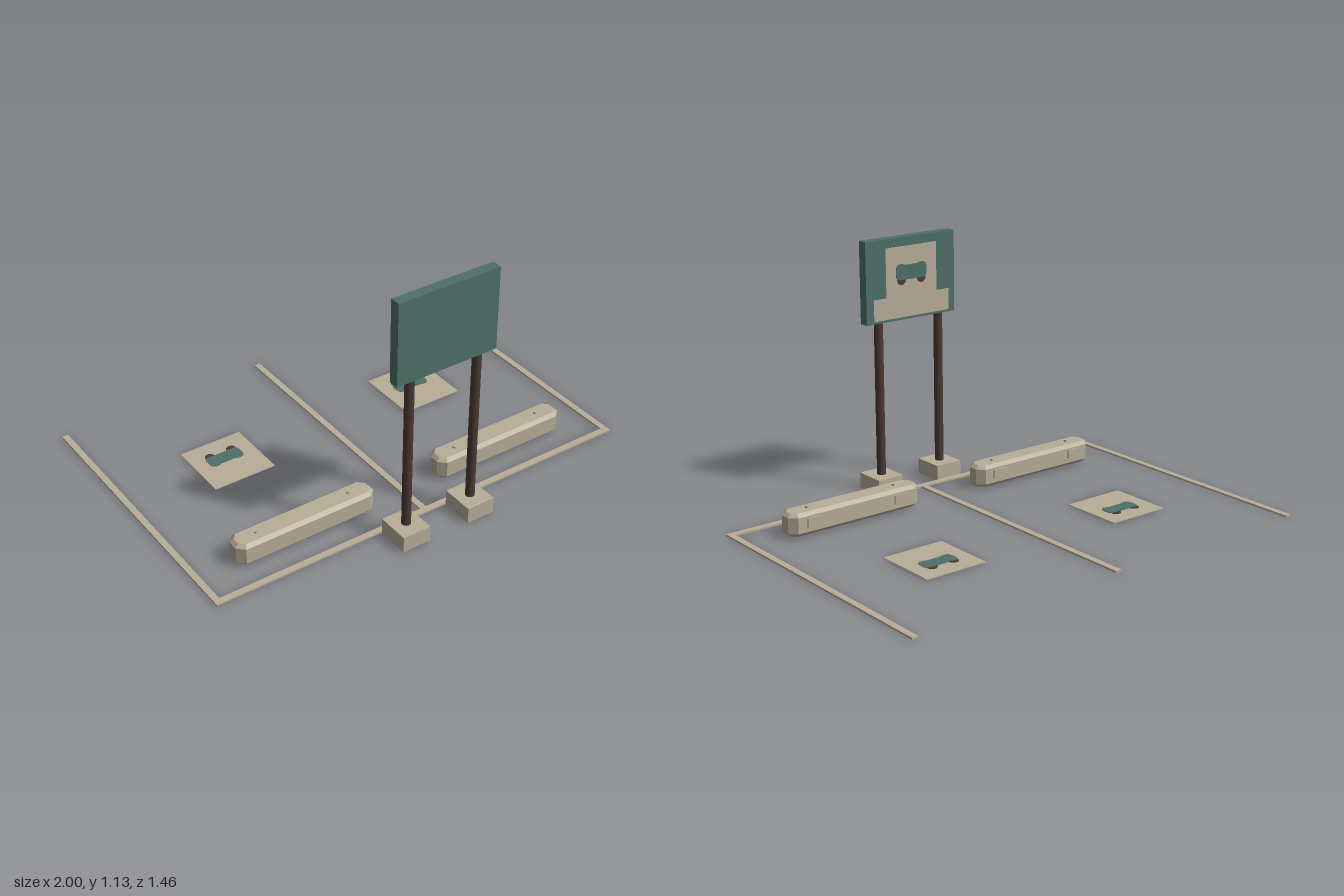
import * as THREE from 'three';

const beige = new THREE.MeshStandardMaterial({ name: 'beige', color: 0xb8ad98 });
const teal = new THREE.MeshStandardMaterial({ name: 'teal', color: 0x4d7068 });
const brown = new THREE.MeshStandardMaterial({ name: 'darkBrown', color: 0x4b3a35 });

function add(parent, name, geometry, material, x = 0, y = 0, z = 0) {
  const mesh = new THREE.Mesh(geometry, material);
  mesh.name = name;
  mesh.position.set(x, y, z);
  parent.add(mesh);
  return mesh;
}

// Box given by its minimum and maximum corners
function block(parent, name, material, [x0, y0, z0], [x1, y1, z1]) {
  return add(parent, name, new THREE.BoxGeometry(x1 - x0, y1 - y0, z1 - z0), material,
    (x0 + x1) / 2, (y0 + y1) / 2, (z0 + z1) / 2);
}

// Flat car symbol in the xy plane, facing +z, wheels at the bottom
function carSymbol(depth) {
  const icon = new THREE.Group();
  icon.name = 'carSymbol';
  const s = new THREE.Shape();
  s.moveTo(-0.07, -0.035);
  s.lineTo(0.07, -0.035);
  s.quadraticCurveTo(0.083, -0.03, 0.082, 0.0);
  s.quadraticCurveTo(0.083, 0.034, 0.06, 0.036);
  s.quadraticCurveTo(0.045, 0.036, 0.032, 0.03);
  s.lineTo(-0.032, 0.03);
  s.quadraticCurveTo(-0.045, 0.036, -0.06, 0.036);
  s.quadraticCurveTo(-0.083, 0.034, -0.082, 0.0);
  s.quadraticCurveTo(-0.083, -0.03, -0.07, -0.035);
  add(icon, 'carBody', new THREE.ExtrudeGeometry(s, { depth, bevelEnabled: false, curveSegments: 5 }), teal);
  // Lower halves of the wheels, below the body
  for (const x of [-0.053, 0.053]) {
    const w = new THREE.Shape();
    w.absarc(x, -0.035, 0.022, Math.PI, Math.PI * 2, false);
    add(icon, 'carWheel', new THREE.ExtrudeGeometry(w, { depth, bevelEnabled: false, curveSegments: 8 }), brown);
  }
  return icon;
}

// Octagonal bar with bevelled top and bottom edges
function wheelStop() {
  const stop = new THREE.Group();
  stop.name = 'wheelStop';
  const bevel = 0.015, c = 0.022, hx = 0.328 - bevel, hz = 0.054 - bevel;
  const s = new THREE.Shape([
    [-hx + c, -hz], [hx - c, -hz], [hx, -hz + c], [hx, hz - c],
    [hx - c, hz], [-hx + c, hz], [-hx, hz - c], [-hx, -hz + c],
  ].map(([x, y]) => new THREE.Vector2(x, y)));
  const geo = new THREE.ExtrudeGeometry(s, {
    depth: 0.07, bevelEnabled: true, bevelThickness: bevel, bevelSize: bevel, bevelSegments: 1,
  });
  geo.rotateX(-Math.PI / 2);
  add(stop, 'stopBar', geo, beige, 0, 0.009 + bevel, 0);
  for (const x of [-0.22, 0.22]) {
    add(stop, 'bolt', new THREE.CylinderGeometry(0.008, 0.008, 0.012, 8), beige, x, 0.112, 0);
    block(stop, 'reflector', beige, [x - 0.033, 0.046, -0.061], [x + 0.033, 0.086, -0.052]);
  }
  return stop;
}

export function createModel() {
  const model = new THREE.Group();
  model.name = 'parkingBays';

  // Painted bay lines
  const lines = new THREE.Group();
  lines.name = 'bayLines';
  model.add(lines);
  block(lines, 'frontLine', beige, [-1, 0, 0.551], [1, 0.008, 0.58]);
  for (const x of [-0.986, 0, 0.986]) {
    block(lines, 'sideLine', beige, [x - 0.014, 0, -0.733], [x + 0.014, 0.008, 0.551]);
  }

  // Each bay: wheel stop and ground marking
  for (const side of [-1, 1]) {
    const bay = new THREE.Group();
    bay.name = side < 0 ? 'rightBay' : 'leftBay';
    bay.position.x = side * 0.492;
    model.add(bay);
    const stop = wheelStop();
    stop.position.z = 0.404;
    bay.add(stop);
    block(bay, 'groundPanel', beige, [-0.146, 0.002, -0.33], [0.146, 0.006, -0.038]);
    const icon = carSymbol(0.008);
    icon.rotation.set(-Math.PI / 2, 0, Math.PI);
    icon.position.set(0, 0, -0.206);
    bay.add(icon);
  }

  // Sign on two posts with footings
  const sign = new THREE.Group();
  sign.name = 'sign';
  model.add(sign);
  for (const x of [-0.163, 0.16]) {
    block(sign, 'footing', beige, [x - 0.065, 0.001, 0.58], [x + 0.065, 0.072, 0.728]);
    const post = new THREE.CylinderGeometry(0.02, 0.02, 0.8, 12);
    add(sign, 'post', post, brown, x, 0.4, 0.654);
  }
  block(sign, 'signBoard', teal, [-0.239, 0.768, 0.631], [0.236, 1.135, 0.677]);
  block(sign, 'lowerPanel', beige, [-0.203, 0.78, 0.626], [0.2, 0.875, 0.632]);
  block(sign, 'upperPanel', beige, [-0.137, 0.875, 0.626], [0.134, 1.095, 0.632]);
  const icon = carSymbol(0.005);
  icon.rotation.y = Math.PI;
  icon.position.set(0, 0.982, 0.628);
  sign.add(icon);

  return model;
}
